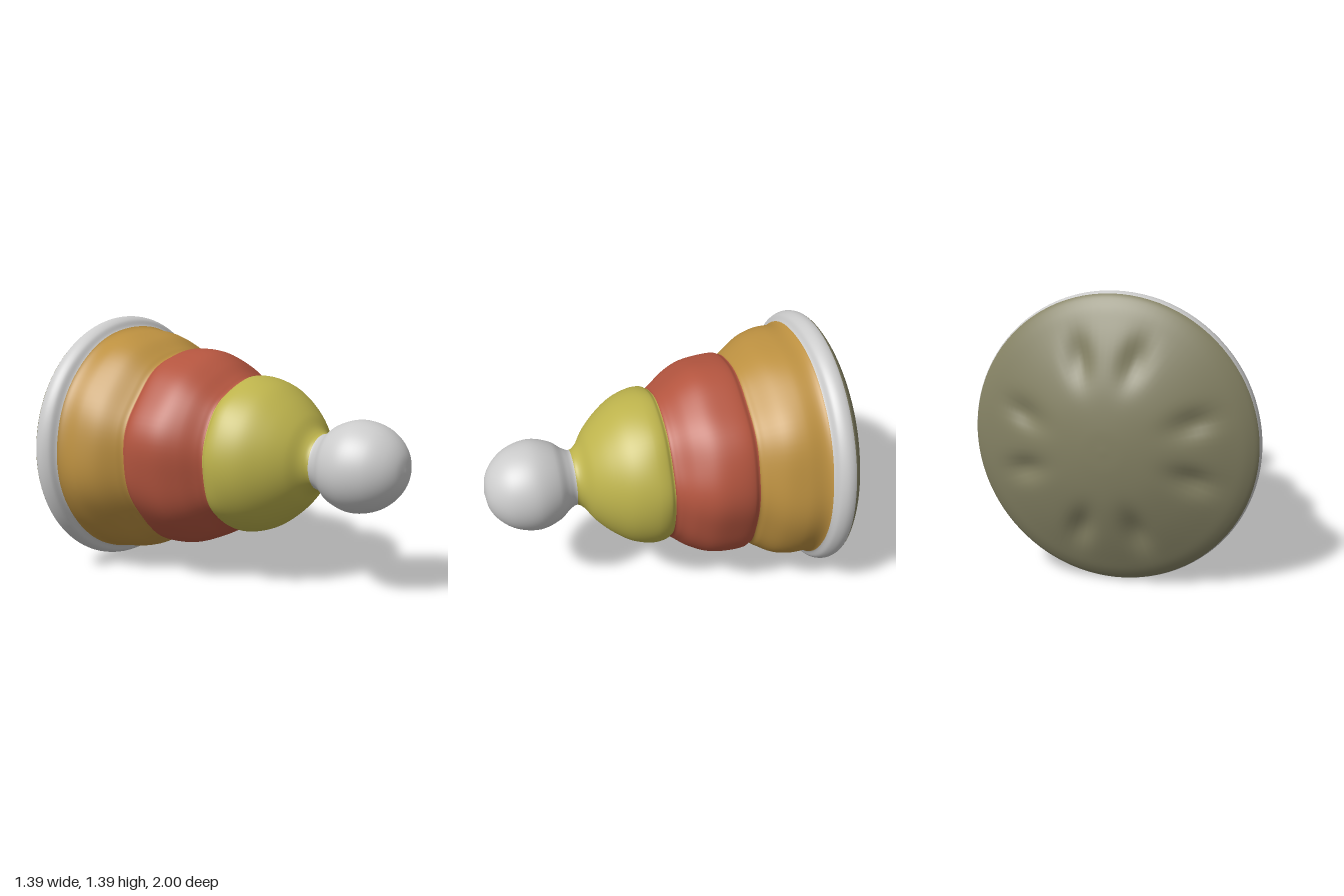
import * as THREE from 'three';

const SEG = 96;   // points around each ring
const STEP = 6;   // rings between two profile points

// Profile from the front tip to the back, as [z, radius], one list per part
const PARTS = [
  ['tipBall', 0xcccccc, [[1, 0], [0.985, 0.085], [0.94, 0.155], [0.86, 0.213], [0.74, 0.238],
    [0.63, 0.205], [0.575, 0.163], [0.535, 0.146]]],
  ['yellowDome', 0xbdb34c, [[0.5, 0.168], [0.45, 0.24], [0.37, 0.32], [0.27, 0.388], [0.16, 0.42],
    [0.1, 0.416], [0.075, 0.402]]],
  ['redBand', 0xb4553f, [[0.04, 0.422], [-0.03, 0.475], [-0.12, 0.52], [-0.22, 0.534], [-0.31, 0.53],
    [-0.342, 0.515]]],
  ['orangeBand', 0xbc9040, [[-0.38, 0.537], [-0.47, 0.593], [-0.57, 0.622], [-0.66, 0.63], [-0.69, 0.643]]],
  ['rim', 0xcccccc, [[-0.715, 0.678], [-0.755, 0.694], [-0.795, 0.685]]],
  ['backDisc', 0x858264, [[-0.83, 0.643], [-0.87, 0.56], [-0.925, 0.42], [-0.972, 0.26], [-0.995, 0.11], [-1, 0]]],
];

// Eight shallow dents on the back, in pairs at the top, bottom and sides
const DENTS = [0, 1, 2, 3].flatMap(k => [-0.32, 0.32].map(d => k * Math.PI / 2 + d));

function dentDepth(x, y) {
  let depth = 0;
  for (const a of DENTS) {
    const along = x * Math.cos(a) + y * Math.sin(a) - 0.42;
    const across = y * Math.cos(a) - x * Math.sin(a);
    depth += 0.03 * Math.exp(-((along / 0.1) ** 2) - (across / 0.055) ** 2);
  }
  return depth;
}

// Soft hand-shaped unevenness, strongest on the red and orange bands
function wobble(a, z) {
  const fade = THREE.MathUtils.smoothstep(z, -0.78, -0.5) * (1 - THREE.MathUtils.smoothstep(z, 0, 0.25));
  return 1 + fade * (0.011 * Math.sin(5 * a + 1 + 6 * z) + 0.008 * Math.sin(9 * a - 4 * z));
}

// Whole skin as one loft, so the shading runs smoothly from part to part
function buildSkin() {
  const knots = PARTS.flatMap(p => p[2]).map(([z, r]) => new THREE.Vector3(z, r, 0));
  const curve = new THREE.CatmullRomCurve3(knots, false, 'centripetal');
  const rows = (knots.length - 1) * STEP + 1;
  const pos = [], index = [];
  for (let i = 0; i < rows; i++) {
    const p = curve.getPoint(i / (rows - 1));
    const z = p.x, r = Math.max(0, p.y);
    const cx = 0.037 + 0.047 * z, cy = 0.695 + 0.02 * Math.max(0, z);
    for (let j = 0; j < SEG; j++) {
      const a = j / SEG * Math.PI * 2, rr = r * wobble(a, z);
      const x = rr * Math.cos(a), y = rr * Math.sin(a);
      pos.push(cx + x, cy + y, z < -0.8 ? z + dentDepth(x, y) : z);
    }
  }
  for (let i = 0; i < rows - 1; i++) index.push(...ringFaces(i));
  const skin = new THREE.BufferGeometry();
  skin.setAttribute('position', new THREE.Float32BufferAttribute(pos, 3));
  skin.setIndex(index);
  skin.computeVertexNormals();
  for (let j = 0; j < SEG; j++) {
    skin.attributes.normal.setXYZ(j, 0, 0, 1);
    skin.attributes.normal.setXYZ((rows - 1) * SEG + j, 0, 0, -1);
  }
  return skin;
}

function ringFaces(i) {
  const faces = [];
  for (let j = 0; j < SEG; j++) {
    const a = i * SEG + j, b = i * SEG + (j + 1) % SEG;
    faces.push(a, a + SEG, b, b, a + SEG, b + SEG);
  }
  return faces;
}

// Cut the rings from first to last out of the skin
function cutPart(skin, first, last) {
  const g = new THREE.BufferGeometry();
  for (const name of ['position', 'normal']) {
    const data = skin.attributes[name].array.slice(first * SEG * 3, (last + 1) * SEG * 3);
    g.setAttribute(name, new THREE.BufferAttribute(data, 3));
  }
  const index = [];
  for (let i = 0; i < last - first; i++) index.push(...ringFaces(i));
  g.setIndex(index);
  return g;
}

export function createModel() {
  const group = new THREE.Group();
  group.name = 'bandedCone';
  const skin = buildSkin();
  let first = 0, count = 0;
  for (const [name, color, profile] of PARTS) {
    count += profile.length;
    const last = (count - 1) * STEP;
    const mesh = new THREE.Mesh(cutPart(skin, first, last), new THREE.MeshStandardMaterial({ color }));
    mesh.name = name;
    group.add(mesh);
    first = last;
  }
  return group;
}
